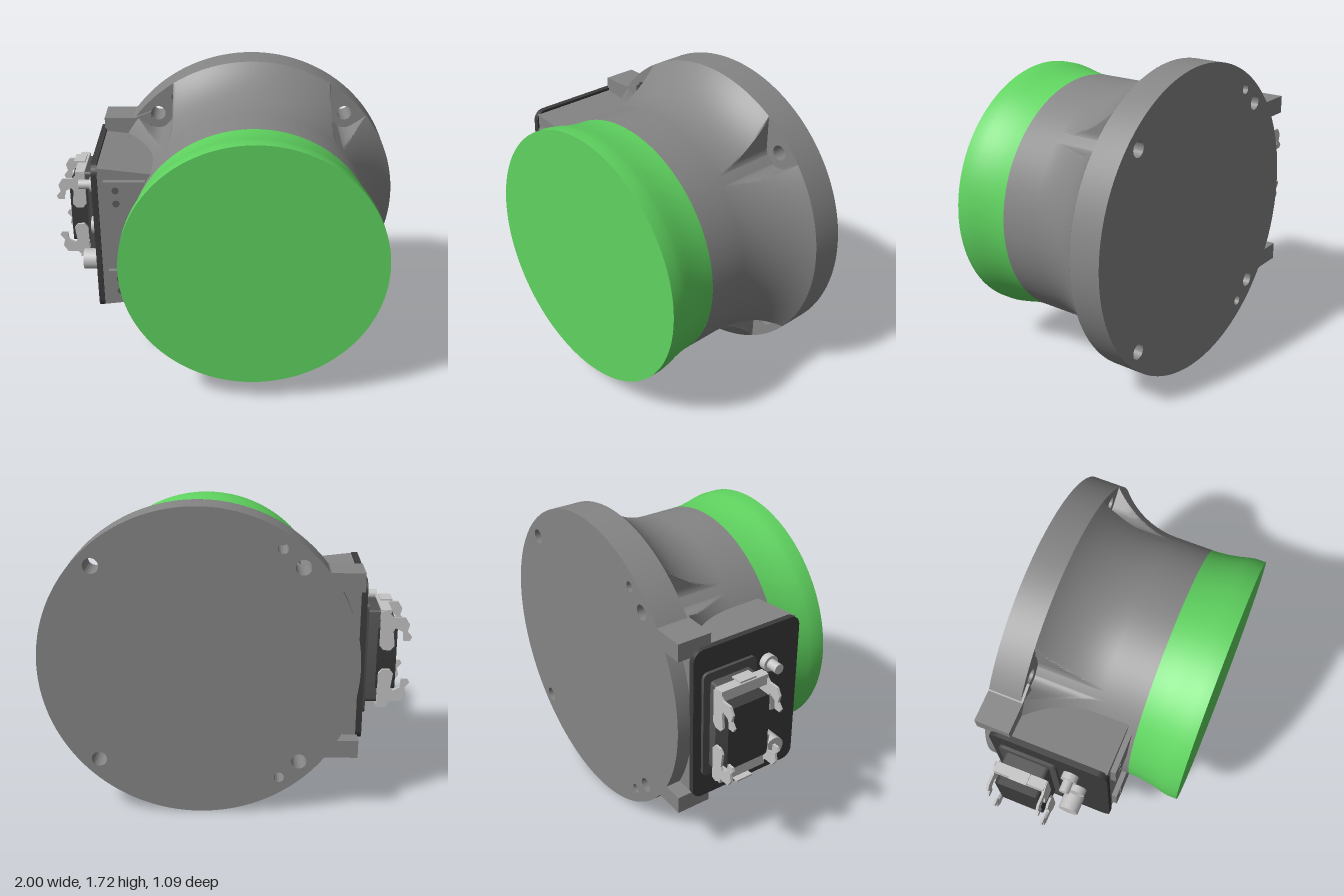
import * as THREE from 'three';
import { toCreasedNormals } from 'three/addons/utils/BufferGeometryUtils.js';

const mat = (name, color) => Object.assign(new THREE.MeshStandardMaterial({ color }), { name });

export function createModel() {
  const grey = mat('housing grey', 0x858585);
  const green = mat('cover green', 0x5fd35f);
  const dark = mat('gasket black', 0x3c3c3c);
  const charcoal = mat('connector charcoal', 0x505050);
  const metal = mat('latch metal', 0xc4c4c4);
  const recess = mat('hole grey', 0x5c5c5c);

  const model = new THREE.Group();
  model.name = 'scannerHead';
  const CX = 0.14, CY = 0.86;
  const drum = new THREE.Group();
  drum.name = 'drum';
  drum.position.set(CX, CY, 0);
  model.add(drum);

  const add = (parent, name, geo, material, x = 0, y = 0, z = 0) => {
    const m = new THREE.Mesh(geo, material);
    m.name = name;
    m.position.set(x, y, z);
    parent.add(m);
    return m;
  };
  // box given by its limits on each axis
  const box = (name, x0, x1, y0, y1, z0, z1, material) =>
    add(model, name, new THREE.BoxGeometry(x1 - x0, y1 - y0, z1 - z0), material,
      (x0 + x1) / 2, (y0 + y1) / 2, (z0 + z1) / 2);
  const lathe = (pts, segs) => {
    const g = new THREE.LatheGeometry(pts.map(p => new THREE.Vector2(p[0], p[1])), segs);
    return g.rotateX(Math.PI / 2);
  };
  const polygon = pts => new THREE.Shape(pts.map(p => new THREE.Vector2(p[0], p[1])));
  const extrude = (shape, depth, curveSegments = 12) =>
    new THREE.ExtrudeGeometry(shape, { depth, bevelEnabled: false, curveSegments });

  // Flared body, cut back around the four mounting screws
  const WAIST = 0.69, RIM = 0.86, FLOOR = -0.365, BOLT = 0.547, SLOT = 0.09;
  const inSlot = (u, v) => {
    if (Math.hypot(u - BOLT, v - BOLT) < SLOT) return true;
    const beyond = u < BOLT ? v > BOLT : u + v > 2 * BOLT;
    return beyond && u > BOLT - SLOT && u - v < SLOT * Math.SQRT2;
  };
  const slotStart = (c, s) => {
    for (let r = WAIST; r < RIM; r += 0.001) if (inSlot(c * r, s * r)) return r;
    return RIM;
  };
  const profile = [[0, FLOOR], [RIM, FLOOR]];
  const R = 0.521, a0 = Math.asin(0.385 / R);
  for (let i = 1; i <= 24; i++) {
    const a = a0 * (1 - i / 24);
    profile.push([WAIST + R * (1 - Math.cos(a)), 0.02 - R * Math.sin(a)]);
  }
  profile.push([WAIST, 0.24]);
  const bodyGeo = lathe(profile, 720);
  const p = bodyGeo.attributes.position;
  for (let i = 0; i < p.count; i++) {
    const x = p.getX(i), y = p.getY(i), r = Math.hypot(x, y);
    if (r <= WAIST) continue;
    const k = Math.min(r, slotStart(Math.abs(x) / r, Math.abs(y) / r)) / r;
    p.setXY(i, x * k, y * k);
  }
  add(drum, 'flaredBody', toCreasedNormals(bodyGeo, 0.6), grey);

  // Mounting flange with screw holes
  const disc = new THREE.Shape().absarc(0, 0, RIM, 0, Math.PI * 2);
  const drill = (x, y, r) => disc.holes.push(new THREE.Path().absarc(x, y, r, 0, Math.PI * 2, true));
  for (const sy of [-1, 1]) {
    for (const sx of [-1, 1]) drill(sx * BOLT, sy * BOLT, 0.042);
    drill(-0.44, sy * 0.645, 0.028);
  }
  add(drum, 'mountingFlange', toCreasedNormals(extrude(disc, 0.18, 64), 0.6), grey, 0, 0, -0.545);

  // Green front cover
  const cover = lathe([[WAIST, 0.24], [0.691, 0.28], [0.697, 0.34], [0.708, 0.4], [0.72, 0.45],
    [0.727, 0.49], [0.727, 0.545], [0, 0.545]], 128);
  add(drum, 'frontCover', toCreasedNormals(cover, 0.6), green);

  // Small drilled holes under the rim and flare
  const spot = (name, x, y, z, tilt) => {
    const normal = new THREE.Vector3(x, y, 0).normalize();
    normal.z = tilt;
    const m = add(drum, name, new THREE.CylinderGeometry(0.027, 0.027, 0.006, 20), recess, x, y, z);
    m.quaternion.setFromUnitVectors(new THREE.Vector3(0, 1, 0), normal.normalize());
  };
  for (const s of [-1, 1]) {
    spot('rimHole', s * 0.31, -0.802, -0.41, 0);
    spot('flareHole', s * 0.28, -0.652, -0.12, 0.28);
  }

  // Side housing that carries the connector
  const side = extrude(polygon([[-0.72, 0.43], [-0.3, 0.48], [-0.3, 1.25], [-0.72, 1.3]]), 0.65);
  add(model, 'sideHousing', side, grey, 0, 0, -0.46);
  for (const s of [-1, 1]) {
    const ear = extrude(polygon(s > 0
      ? [[-0.725, 1.28], [-0.45, 1.28], [-0.45, 1.42], [-0.55, 1.38], [-0.725, 1.38]]
      : [[-0.725, 0.44], [-0.725, 0.34], [-0.55, 0.34], [-0.45, 0.3], [-0.45, 0.44]]), 0.195);
    add(model, 'housingEar', ear, grey, 0, 0, -0.545);
    const y = CY + s * 0.28;
    box('screwPad', -0.68, -0.45, y - 0.09, y + 0.09, 0.18, 0.22, grey);
    for (const d of [-0.04, 0.04]) {
      const hole = add(model, 'padScrew', new THREE.CylinderGeometry(0.02, 0.02, 0.006, 16),
        recess, -0.615, y + d, 0.221);
      hole.rotation.x = Math.PI / 2;
    }
  }

  // Rounded plates facing sideways: limits in z and y, from x outwards by depth
  const sidePlate = (name, z0, z1, y0, y1, r, x, depth, material) => {
    const s = new THREE.Shape();
    s.absarc(z1 - r, y1 - r, r, 0, Math.PI / 2);
    s.absarc(z0 + r, y1 - r, r, Math.PI / 2, Math.PI);
    s.absarc(z0 + r, y0 + r, r, Math.PI, Math.PI * 1.5);
    s.absarc(z1 - r, y0 + r, r, Math.PI * 1.5, Math.PI * 2);
    add(model, name, toCreasedNormals(extrude(s, depth).rotateY(-Math.PI / 2), 0.6), material, x);
  };
  sidePlate('gasketPlate', -0.47, 0.2, 0.41, 1.315, 0.06, -0.715, 0.032, dark);
  sidePlate('connectorFrame', -0.42, -0.09, 0.55, 1.18, 0.03, -0.74, 0.025, charcoal);
  sidePlate('connectorHood', -0.38, -0.13, 0.6, 1.13, 0.02, -0.75, 0.08, charcoal);
  sidePlate('connectorInsert', -0.385, -0.13, 0.68, 1.05, 0.02, -0.82, 0.105, dark);

  // Locking latches with their cross bars, mirrored top and bottom
  const hook = [[-0.83, 0.08], [-0.83, 0.27], [-0.86, 0.28], [-0.9, 0.24], [-0.96, 0.24], [-0.985, 0.2],
    [-0.975, 0.16], [-1, 0.13], [-0.99, 0.11], [-0.955, 0.11], [-0.95, 0.16], [-0.91, 0.18],
    [-0.9, 0.16], [-0.91, 0.08], [-0.89, 0.055], [-0.85, 0.055]];
  for (const s of [-1, 1]) {
    const shape = polygon(hook.map(([x, y]) => [x, CY + s * y]));
    for (const z of [-0.408, -0.118]) add(model, 'latchHook', extrude(shape, 0.014), metal, 0, 0, z);
    const y = CY + s * 0.25;
    box('latchBar', -0.885, -0.83, y - 0.03, y + 0.03, -0.4, -0.11, metal);
    box('latchSpring', -0.9, -0.835, y + s * 0.055 - 0.005, y + s * 0.055 + 0.005, -0.3, -0.2, metal);
  }

  // Cable fittings next to the connector
  const fitting = (name, y, z, r, x, material) => {
    const len = -0.74 - x;
    const m = add(model, name, new THREE.CylinderGeometry(r, r, len, 24), material, x + len / 2, y, z);
    m.rotation.z = Math.PI / 2;
  };
  fitting('upperPlugCollar', 1.11, -0.01, 0.045, -0.785, metal);
  fitting('upperPlug', 1.11, -0.01, 0.028, -0.85, metal);
  fitting('middlePlug', 0.865, 0.02, 0.05, -0.785, metal);
  fitting('lowerPlugCollar', 0.62, -0.015, 0.06, -0.85, metal);

  return model;
}
